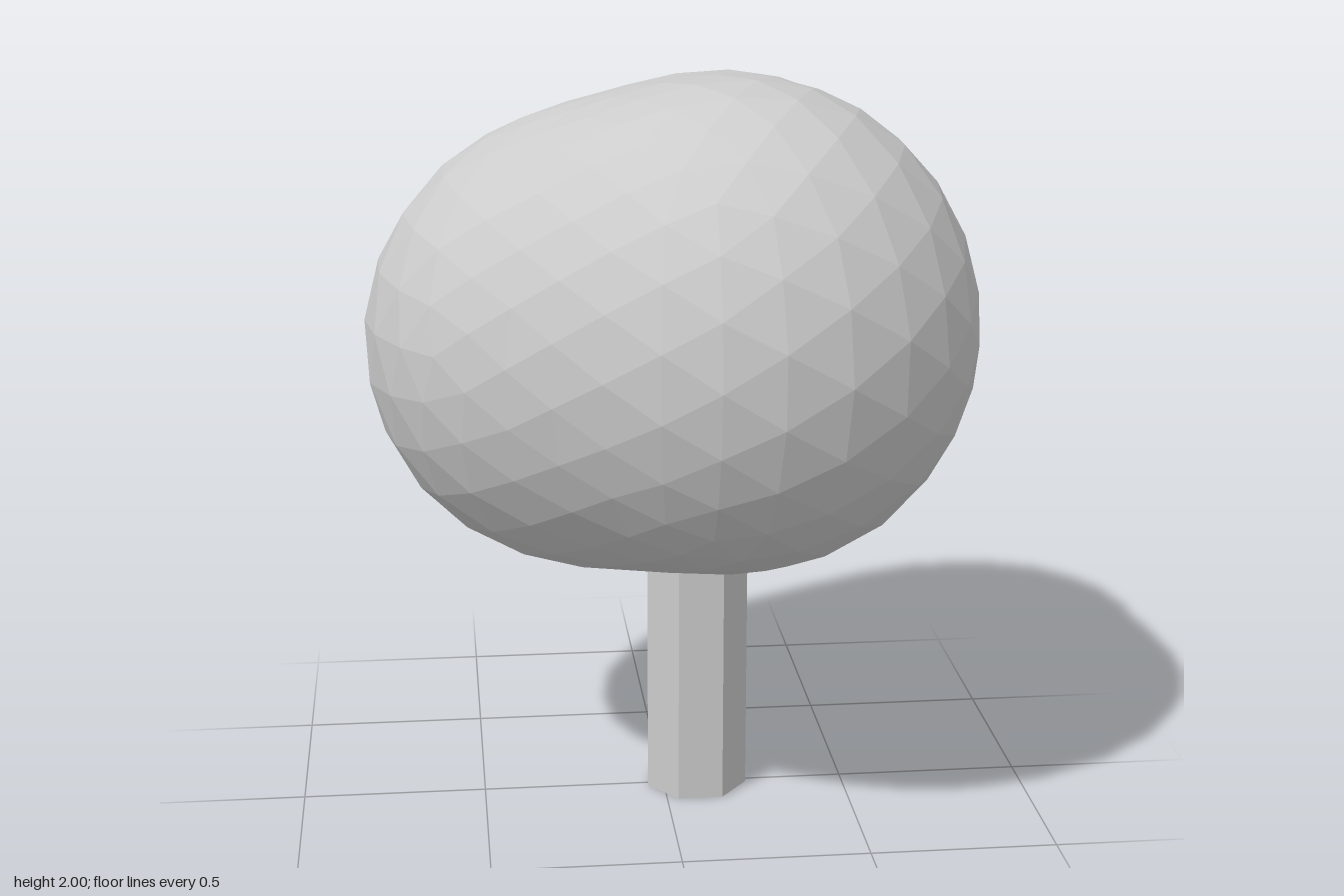
import * as THREE from 'three';

// Overlapping lobes of the crown: centre, radius and vertical stretch
const LOBES = [
  { c: new THREE.Vector3(-0.195, 1.28, -0.045), r: 0.597, sy: 1.0 },
  { c: new THREE.Vector3(0.2, 1.41, -0.285), r: 0.54, sy: 0.98 },
  { c: new THREE.Vector3(0.187, 1.365, 0.217), r: 0.603, sy: 1.04 },
];
const SHARPNESS = 12;

// Smoothly blended distance to the lobes, negative inside
function crownDistance(p) {
  let sum = 0;
  for (const { c, r, sy } of LOBES) {
    const d = Math.hypot(p.x - c.x, (p.y - c.y) / sy, p.z - c.z) - r;
    sum += Math.exp(-SHARPNESS * d);
  }
  return -Math.log(sum) / SHARPNESS;
}

// Faceted ball whose vertices are pushed out to the blended lobes
function crownGeometry() {
  const geo = new THREE.IcosahedronGeometry(1, 5);
  const pos = geo.attributes.position;
  const centre = new THREE.Vector3(0.06, 1.35, -0.03);
  const dir = new THREE.Vector3();
  const p = new THREE.Vector3();
  for (let i = 0; i < pos.count; i++) {
    dir.fromBufferAttribute(pos, i).normalize();
    let near = 0, far = 1.5;
    for (let k = 0; k < 30; k++) {
      const mid = (near + far) / 2;
      p.copy(centre).addScaledVector(dir, mid);
      if (crownDistance(p) < 0) near = mid; else far = mid;
    }
    pos.setXYZ(i, p.x, p.y, p.z);
  }
  geo.computeVertexNormals();
  return geo;
}

export function createModel() {
  const group = new THREE.Group();
  group.name = 'tree';
  const material = new THREE.MeshStandardMaterial({ color: 0xcccccc, flatShading: true });

  const crown = new THREE.Mesh(crownGeometry(), material);
  crown.name = 'crown';
  group.add(crown);

  // Seven-sided trunk with a flat side to the front
  const height = 0.76;
  const trunk = new THREE.Mesh(new THREE.CylinderGeometry(0.141, 0.141, height, 7), material);
  trunk.name = 'trunk';
  trunk.rotation.y = Math.PI;
  trunk.position.set(0.092, height / 2, -0.012);
  group.add(trunk);

  return group;
}
